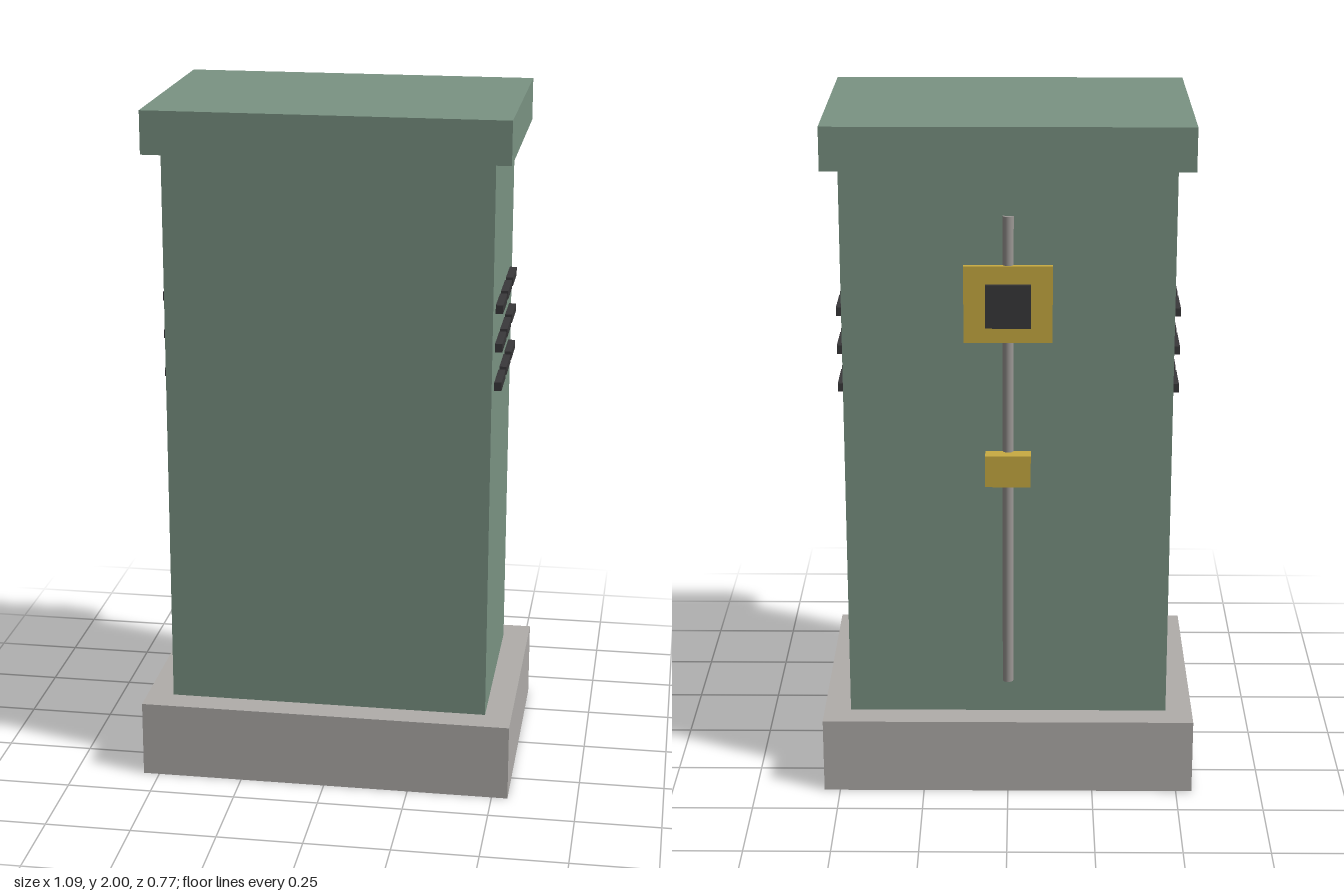
import * as THREE from 'three';

function material(name, color) {
  const m = new THREE.MeshStandardMaterial({ color });
  m.name = name;
  return m;
}

export function createModel() {
  const green = material('sage green', 0x7a9383);
  const concrete = material('concrete grey', 0xb0adaa);
  const steel = material('steel grey', 0x9c9895);
  const brass = material('brass', 0xc8ab42);
  const dark = material('dark grey', 0x39383a);

  const model = new THREE.Group();
  model.name = 'cabinet';

  // Box given by its size and centre
  function box(name, mat, w, h, d, x, y, z) {
    const mesh = new THREE.Mesh(new THREE.BoxGeometry(w, h, d), mat);
    mesh.name = name;
    mesh.position.set(x, y, z);
    model.add(mesh);
  }

  // Plinth, cabinet body and overhanging lid
  box('plinth', concrete, 1.094, 0.226, 0.772, 0, 0.113, 0);
  box('body', green, 0.938, 1.65, 0.61, 0, 1.051, 0);
  box('lid', green, 1.032, 0.124, 0.706, 0, 1.938, 0);

  // Vent slats: three rows of three on each side
  for (const side of [-1, 1])
    for (const y of [1.213, 1.327, 1.44])
      for (const z of [-0.161, 0, 0.161])
        box('ventSlat', dark, 0.022, 0.025, 0.132, side * 0.479, y, z);

  // Locking rod, half sunk into the back door
  const rod = new THREE.Mesh(new THREE.CylinderGeometry(0.016, 0.016, 1.416, 16), steel);
  rod.name = 'lockingRod';
  rod.position.set(0, 1.033, -0.304);
  model.add(rod);

  // Sign plate with its dark panel, and the latch below
  box('signPlate', brass, 0.25, 0.222, 0.017, 0, 1.49, -0.316);
  box('signPanel', dark, 0.128, 0.126, 0.01, 0, 1.486, -0.328);
  box('latch', brass, 0.13, 0.094, 0.047, 0, 1.002, -0.328);

  return model;
}
